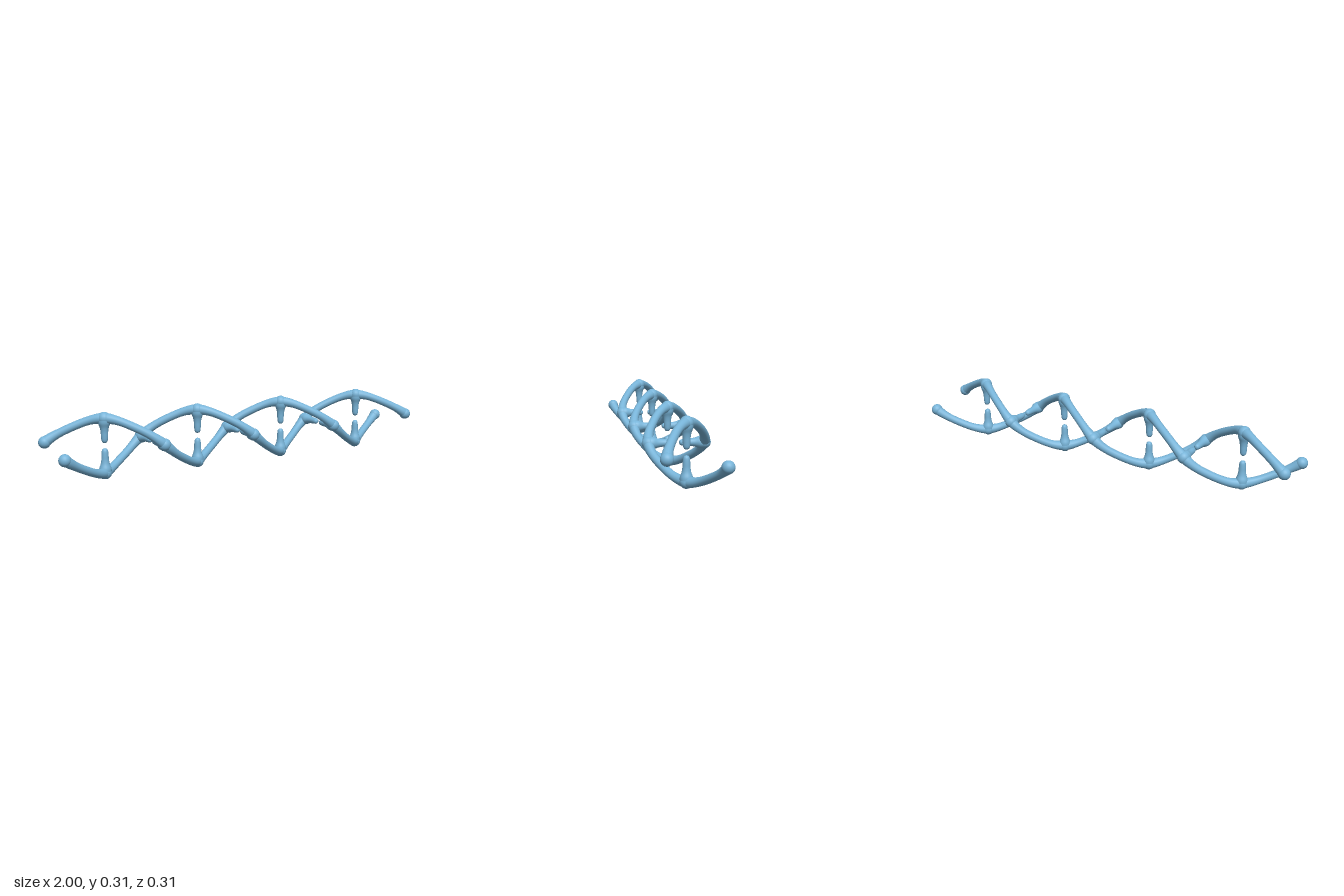
import * as THREE from 'three';

const AXIS_Y = 0.16;   // height of the helix axis
const STEP = 0.243;    // length of a quarter turn
const T_END = 3.9;     // quarter turns from the middle to each end

const material = new THREE.MeshStandardMaterial({ color: 0x78b4d8 });

// Point on a strand after t quarter turns; side is +1 or -1 for the two strands
function helixPoint(t, side) {
  const a = (t - 3) * Math.PI / 2;
  const r = (0.122 + 0.005 * Math.cos(2 * Math.PI * t)) * side;
  const x = t * STEP + Math.sign(t) * Math.max(0, Math.abs(t) - 3) * 0.026;
  return new THREE.Vector3(x, AXIS_Y + r * Math.cos(a), r * Math.sin(a));
}

class Helix extends THREE.Curve {
  constructor(side) { super(); this.side = side; }
  getPoint(u, target = new THREE.Vector3()) {
    return target.copy(helixPoint((u * 2 - 1) * T_END, this.side));
  }
}

// Tube that swells softly where it meets each node
function strandGeometry(side) {
  const path = new Helix(side), segs = 240, sides = 16, radius = 0.0195;
  const geo = new THREE.TubeGeometry(path, segs, radius, sides, false);
  const pos = geo.attributes.position, p = new THREE.Vector3();
  for (let i = 0; i <= segs; i++) {
    const c = path.getPointAt(i / segs);
    const t = c.x / STEP, d = (t - Math.round(t)) * STEP;
    const s = 1 + 0.3 * Math.exp(-((d / 0.04) ** 2));
    for (let j = 0; j <= sides; j++) {
      const k = i * (sides + 1) + j;
      p.fromBufferAttribute(pos, k).sub(c).multiplyScalar(s).add(c);
      pos.setXYZ(k, p.x, p.y, p.z);
    }
  }
  geo.computeVertexNormals();
  // Share normals across the tube seam
  const n = geo.attributes.normal, a = new THREE.Vector3(), b = new THREE.Vector3();
  for (let i = 0; i <= segs; i++) {
    const k = i * (sides + 1);
    a.fromBufferAttribute(n, k).add(b.fromBufferAttribute(n, k + sides)).normalize();
    n.setXYZ(k, a.x, a.y, a.z);
    n.setXYZ(k + sides, a.x, a.y, a.z);
  }
  return geo;
}

// Half rung: rounded tip near the axis (y = 0), flaring out into the node
function rungGeometry() {
  const profile = new THREE.SplineCurve([
    [0, 0.012], [0.009, 0.015], [0.0145, 0.025], [0.0165, 0.045],
    [0.0175, 0.065], [0.021, 0.085], [0.028, 0.105], [0.029, 0.122],
  ].map(([x, y]) => new THREE.Vector2(x, y)));
  const pts = profile.getPoints(28);
  pts[0].x = 0;
  return new THREE.LatheGeometry(pts, 20);
}

export function createModel() {
  const group = new THREE.Group();
  const add = (name, geo, position) => {
    const mesh = new THREE.Mesh(geo, material);
    mesh.name = name;
    if (position) mesh.position.copy(position);
    group.add(mesh);
    return mesh;
  };

  const nodeGeo = new THREE.SphereGeometry(0.03, 20, 14);
  const endGeo = new THREE.SphereGeometry(0.0285, 20, 14);
  const rungGeo = rungGeometry();
  const up = new THREE.Vector3(0, 1, 0);

  for (const side of [1, -1]) {
    add('strand', strandGeometry(side));
    // Ball at each end of the strand
    for (const e of [-T_END, T_END]) add('strandEnd', endGeo, helixPoint(e, side));
    // Node and half rung at every quarter turn
    for (let t = -3; t <= 3; t++) {
      const p = helixPoint(t, side);
      add('node', nodeGeo, p);
      const centre = new THREE.Vector3(p.x, AXIS_Y, 0);
      const rung = add('halfRung', rungGeo, centre);
      rung.quaternion.setFromUnitVectors(up, p.clone().sub(centre).normalize());
    }
  }
  return group;
}
